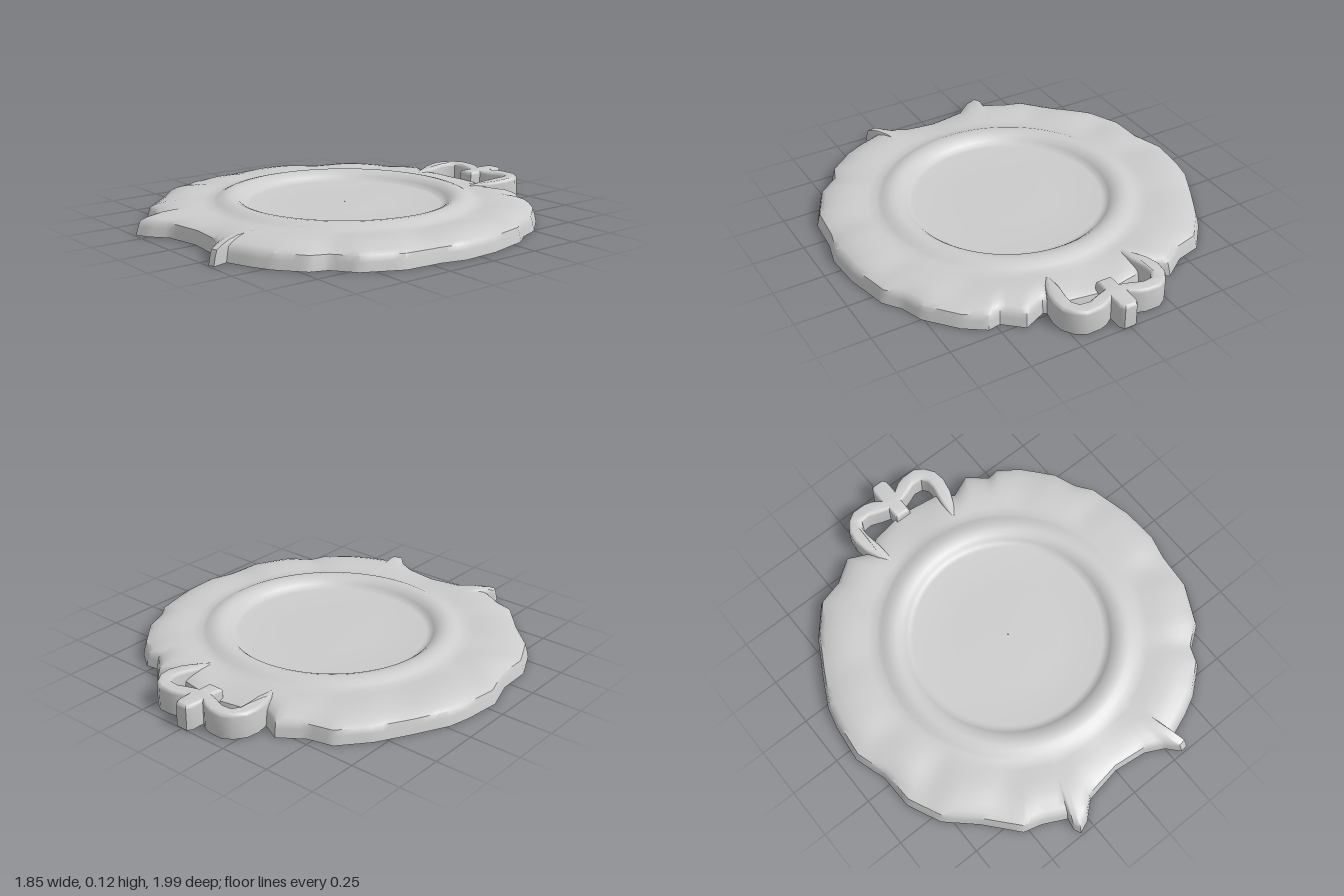
import * as THREE from 'three';
import { toCreasedNormals } from 'three/addons/utils/BufferGeometryUtils.js';

const grey = new THREE.MeshStandardMaterial({ color: 0xcccccc });
const CX = 0.015, CZ = 0.035; // middle of the raised ring

// Scalloped foot outline as x, z pairs, from the crown clockwise seen from above
const rightEdge = [
  0.2, -0.79, 0.28, -0.73, 0.39, -0.78, 0.48, -0.7, 0.54, -0.71, 0.64, -0.64, 0.76, -0.5,
  0.8, -0.39, 0.86, -0.31, 0.88, -0.22, 0.91, -0.1, 0.92, 0.08, 0.89, 0.2, 0.875, 0.38,
  0.785, 0.56, 0.68, 0.64, 0.65, 0.72, 0.53, 0.82, 0.44, 0.865, 0.32, 0.91,
  0.34, 0.985, 0.305, 0.99, 0.25, 0.93, 0.16, 0.885, 0, 0.865];
const leftEdge = [
  -0.18, 0.895, -0.26, 0.965, -0.32, 0.99, -0.335, 0.955, -0.325, 0.9, -0.435, 0.845,
  -0.525, 0.82, -0.66, 0.665, -0.795, 0.54, -0.87, 0.38, -0.875, 0.21, -0.925, 0.055,
  -0.905, -0.13, -0.88, -0.235, -0.8, -0.39, -0.71, -0.55, -0.595, -0.685,
  -0.475, -0.715, -0.36, -0.795, -0.25, -0.74, -0.18, -0.79, 0, -0.82];

function toPoints(list) {
  const out = [];
  for (let i = 0; i < list.length; i += 2) out.push(new THREE.Vector2(list[i], list[i + 1]));
  return out;
}

function subdivide(points, n) {
  return points.flatMap((p, i) => {
    const q = points[(i + 1) % points.length];
    return Array.from({ length: n }, (_, k) => p.clone().lerp(q, k / n));
  });
}

// Shallow valleys between the leaves: direction in degrees, half width, strength
const valleys = [[90, 13, 1], [13, 7, 0.8], [-19, 6, 0.5], [43, 6, 0.6], [-45, 6, 0.4],
  [130, 6, 0.5], [156, 6, 0.8], [178, 6, 0.7], [-153, 7, 0.5], [-128, 6, 0.4], [-90, 14, 1.2]];
function valley(p) {
  const a = Math.atan2(p.y - CZ, p.x - CX) * 180 / Math.PI;
  return valleys.reduce((s, [c, w, k]) => {
    const d = Math.abs(((a - c + 540) % 360) - 180);
    return s + k * Math.exp(-((d / w) ** 2));
  }, 0);
}

// Closed loops joined one to the next, from the underside round to the floor of the dish
function loft(rows) {
  const n = rows[0].length, index = [];
  for (let r = 0; r < rows.length - 1; r++) {
    for (let i = 0; i < n; i++) {
      const j = (i + 1) % n, a = r * n + i, b = a + n, c = r * n + j, d = c + n;
      index.push(a, b, c, c, b, d);
    }
  }
  const g = new THREE.BufferGeometry();
  g.setAttribute('position', new THREE.Float32BufferAttribute(rows.flat(2), 3));
  g.setIndex(index);
  return toCreasedNormals(g, 0.75);
}

function makePlate() {
  const outline = subdivide(toPoints([...rightEdge, ...leftEdge]), 4);
  const circlePoint = (p, r) => {
    const a = Math.atan2(p.y - CZ, p.x - CX);
    return new THREE.Vector2(CX + r * Math.cos(a), CZ + r * Math.sin(a));
  };
  const rows = [outline.map(p => { const c = circlePoint(p, 0.002); return [c.x, 0, c.y]; })];
  // Rim: fraction of the way in to the ring, height, depth of the valleys
  const rim = [[0, 0, 0], [0.03, 0.04, 0], [0.06, 0.068, 0.003], [0.14, 0.082, 0.009],
    [0.28, 0.096, 0.017], [0.45, 0.104, 0.019], [0.65, 0.104, 0.014], [0.85, 0.1, 0.007]];
  for (const [t, y, v] of rim) {
    rows.push(outline.map(p => {
      const q = p.clone().lerp(circlePoint(p, 0.635), t);
      return [q.x, y - v * valley(p), q.y];
    }));
  }
  // Raised ring and sunken floor: radius, height
  const ring = [[0.635, 0.098], [0.615, 0.107], [0.59, 0.119], [0.565, 0.125], [0.54, 0.123],
    [0.515, 0.114], [0.495, 0.098], [0.48, 0.082], [0.46, 0.079], [0.25, 0.081], [0.002, 0.082]];
  for (const [r, y] of ring) {
    rows.push(outline.map(p => { const c = circlePoint(p, r); return [c.x, y, c.y]; }));
  }
  return loft(rows);
}

function makeCrown() {
  // Drawn with -z as the upward direction of the shape
  const half = toPoints([0.045, 0.91, 0.08, 0.935, 0.12, 0.947, 0.19, 0.948, 0.235, 0.92,
    0.27, 0.87, 0.278, 0.81, 0.265, 0.74, 0.235, 0.67, 0.2, 0.615]);
  const inner = toPoints([0.185, 0.63, 0.19, 0.72, 0.205, 0.8, 0.205, 0.845, 0.185, 0.875,
    0.14, 0.88, 0.09, 0.86, 0.04, 0.845, 0.04, 0.78]);
  const knob = toPoints([0.045, 0.975, 0.03, 0.998]);
  const right = [...knob.reverse(), ...half, ...inner];
  const left = right.map(p => new THREE.Vector2(-p.x, p.y)).reverse();
  const bevel = 0.018;
  const g = new THREE.ExtrudeGeometry(new THREE.Shape([...right, ...left]), {
    depth: 0.105, bevelEnabled: true, bevelThickness: bevel, bevelSize: bevel * 0.8,
    bevelOffset: -bevel * 0.8, bevelSegments: 3, curveSegments: 4 });
  g.rotateX(-Math.PI / 2);
  // Flat foot; the top sinks towards the ring
  const pos = g.attributes.position;
  for (let i = 0; i < pos.count; i++) {
    const slope = THREE.MathUtils.smoothstep(-pos.getZ(i), 0.6, 0.82);
    pos.setY(i, Math.max(0, pos.getY(i)) * (0.83 + 0.16 * slope));
  }
  g.deleteAttribute('normal');
  g.deleteAttribute('uv');
  return toCreasedNormals(g, 0.75);
}

export function createModel() {
  const model = new THREE.Group();
  model.name = 'ornamentalMedallion';
  const plate = new THREE.Mesh(makePlate(), grey);
  plate.name = 'scallopedPlate';
  const crown = new THREE.Mesh(makeCrown(), grey);
  crown.name = 'crownLoop';
  model.add(plate, crown);
  return model;
}
